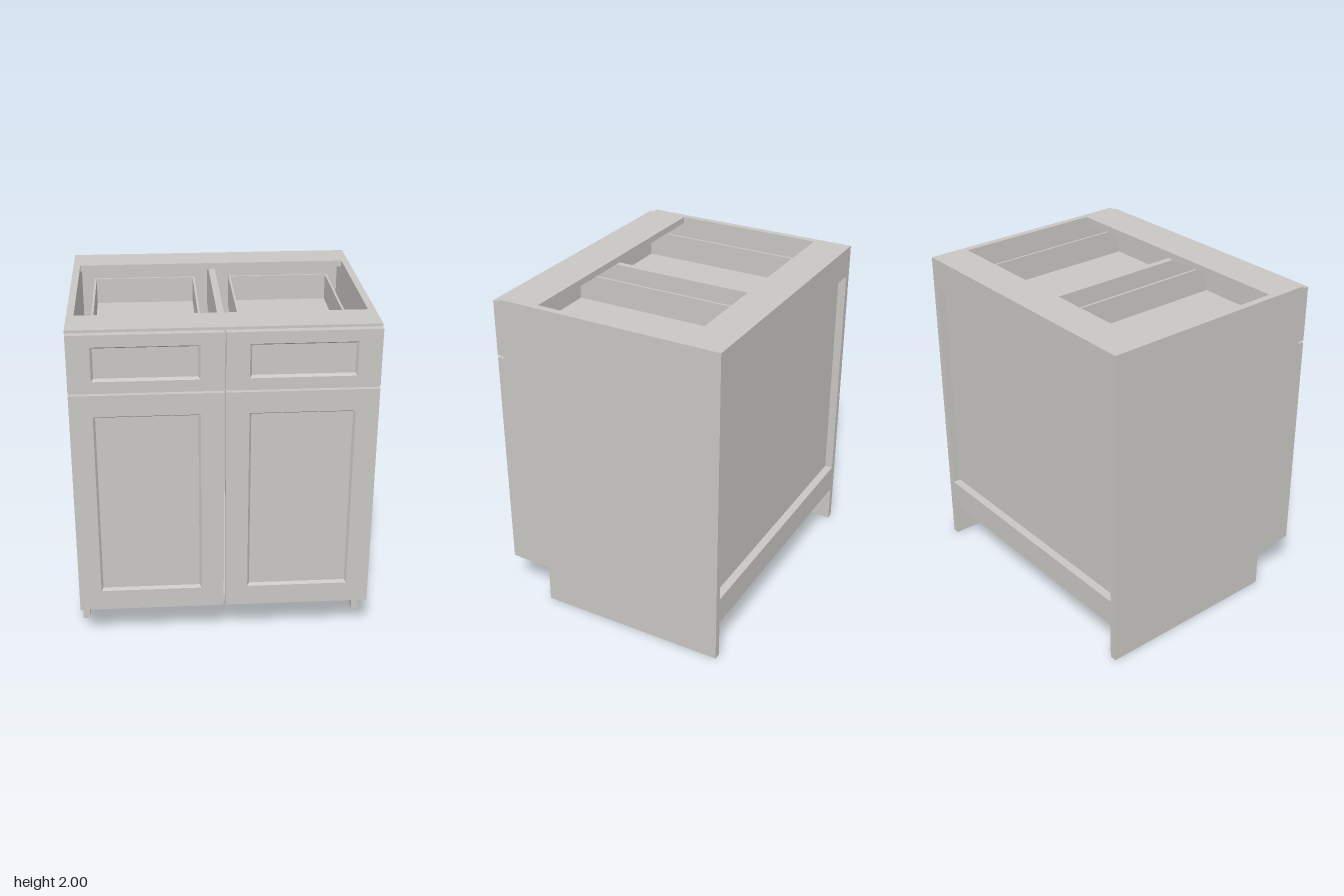
import * as THREE from 'three';

const material = new THREE.MeshStandardMaterial({ color: 0xc9c7c3 });
material.name = 'warm grey paint';

// Box given by its low and high limits on each axis
function box(parent, name, [x0, x1], [y0, y1], [z0, z1]) {
  const mesh = new THREE.Mesh(new THREE.BoxGeometry(x1 - x0, y1 - y0, z1 - z0), material);
  mesh.position.set((x0 + x1) / 2, (y0 + y1) / 2, (z0 + z1) / 2);
  mesh.name = name;
  parent.add(mesh);
  return mesh;
}

// Closed slab whose front has a bevelled recess, built from rectangular loops
function recessedFront(parent, name, [x0, x1], [y0, y1], [z0, z1], marginX, marginY) {
  const bevel = 0.012, depth = 0.02;
  const loop = (dx, dy, z) => [
    [x0 + dx, y0 + dy, z], [x1 - dx, y0 + dy, z], [x1 - dx, y1 - dy, z], [x0 + dx, y1 - dy, z],
  ];
  const loops = [
    loop(0, 0, z0),
    loop(0, 0, z1),
    loop(marginX, marginY, z1),
    loop(marginX + bevel, marginY + bevel, z1 - depth),
  ];
  const points = [];
  const quad = (a, b, c, d) => points.push(...a, ...b, ...c, ...a, ...c, ...d);
  for (let i = 0; i < loops.length - 1; i++) {
    for (let j = 0; j < 4; j++) {
      const k = (j + 1) % 4;
      quad(loops[i][j], loops[i][k], loops[i + 1][k], loops[i + 1][j]);
    }
  }
  quad(...loops[3]);
  quad(...[...loops[0]].reverse());
  const geometry = new THREE.BufferGeometry();
  geometry.setAttribute('position', new THREE.Float32BufferAttribute(points, 3));
  geometry.computeVertexNormals();
  const mesh = new THREE.Mesh(geometry, material);
  mesh.name = name;
  parent.add(mesh);
}

// Side panel with a toe notch at the lower front
function sidePanel(parent, name, x0, thickness) {
  const shape = new THREE.Shape();
  [[0.72, 0], [0.72, 2], [-0.676, 2], [-0.676, 0.238], [-0.457, 0.238], [-0.457, 0]]
    .forEach(([z, y], i) => (i ? shape.lineTo(z, y) : shape.moveTo(z, y)));
  const geometry = new THREE.ExtrudeGeometry(shape, { depth: thickness, bevelEnabled: false });
  geometry.rotateY(Math.PI / 2);
  const mesh = new THREE.Mesh(geometry, material);
  mesh.position.x = x0;
  mesh.name = name;
  parent.add(mesh);
}

// Open drawer box
function drawerBox(parent, name, x0, x1) {
  const group = new THREE.Group();
  group.name = name;
  const t = 0.013, y = [1.70, 1.90], z = [-0.535, 0.65];
  box(group, 'drawerSideA', [x0, x0 + t], y, z);
  box(group, 'drawerSideB', [x1 - t, x1], y, z);
  box(group, 'drawerBack', [x0 + t, x1 - t], y, [z[0], z[0] + t]);
  box(group, 'drawerInnerFront', [x0 + t, x1 - t], y, [z[1] - t, z[1]]);
  box(group, 'drawerBottom', [x0 + t, x1 - t], [1.725, 1.74], [z[0] + t, z[1] - t]);
  parent.add(group);
}

export function createModel() {
  const model = new THREE.Group();
  model.name = 'baseCabinet';

  // Carcass
  const carcass = new THREE.Group();
  carcass.name = 'carcass';
  model.add(carcass);
  const inner = [-0.826, 0.826];
  sidePanel(carcass, 'leftSidePanel', 0.826, 0.042);
  sidePanel(carcass, 'rightSidePanel', -0.868, 0.042);
  box(carcass, 'bottomPanel', inner, [0.238, 0.28], [-0.68, 0.676]);
  box(carcass, 'frontStretcher', inner, [1.96, 2], [0.44, 0.676]);
  box(carcass, 'backStretcher', inner, [1.96, 2], [-0.72, -0.49]);
  box(carcass, 'middleRail', inner, [1.615, 1.66], [0.6, 0.676]);
  box(carcass, 'drawerDivider', [-0.02, 0.02], [1.66, 1.96], [-0.665, 0.676]);

  // Recessed back with top and bottom rails
  box(carcass, 'backPanel', inner, [0.28, 1.96], [-0.67, -0.65]);
  box(carcass, 'backTopRail', inner, [1.815, 1.96], [-0.72, -0.67]);
  box(carcass, 'backBottomRail', inner, [0.238, 0.41], [-0.72, -0.67]);

  // Mirrored doors, drawer fronts and drawer boxes
  for (const side of [-1, 1]) {
    const label = side > 0 ? 'left' : 'right';
    const span = (a, b) => (side > 0 ? [a, b] : [-b, -a]);
    const z = [0.677, 0.72];
    recessedFront(model, label + 'Door', span(0.005, 0.865), [0.238, 1.632], z, 0.131, 0.128);
    recessedFront(model, label + 'DrawerFront', span(0.005, 0.865), [1.644, 1.985], z, 0.131, 0.07);
    drawerBox(model, label + 'Drawer', ...span(0.108, 0.742));
  }
  return model;
}
